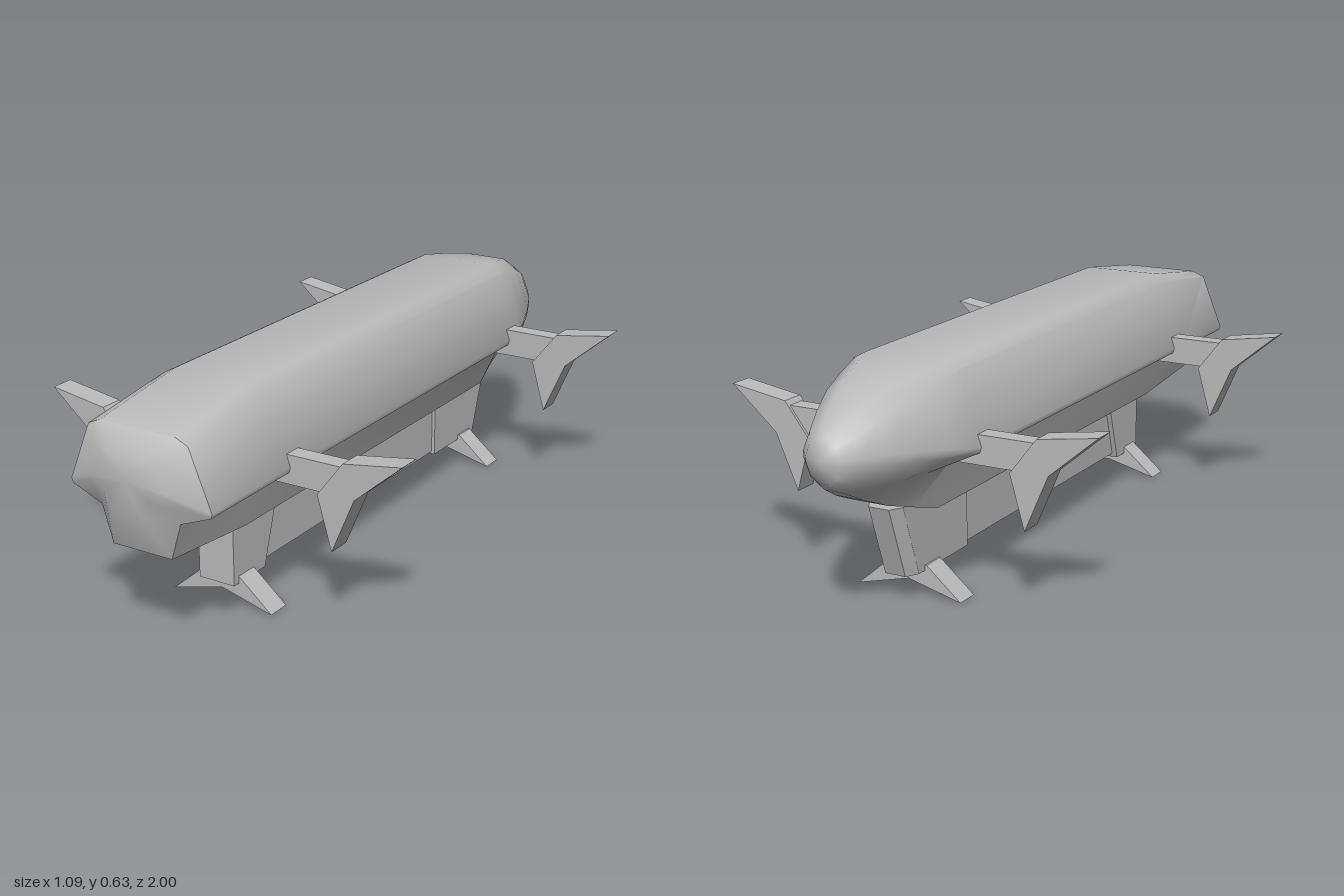
import * as THREE from 'three';
import { toCreasedNormals } from 'three/addons/utils/BufferGeometryUtils.js';

const hullGrey = new THREE.MeshStandardMaterial({ color: 0xbbbbbb });
hullGrey.name = 'hull grey';

function addMesh(parent, geometry, name) {
  const mesh = new THREE.Mesh(geometry, hullGrey);
  mesh.name = name;
  parent.add(mesh);
  return mesh;
}

// Flat outline in x-y, extruded symmetrically along z
function plate(points, depth) {
  const shape = new THREE.Shape(points.map(([x, y]) => new THREE.Vector2(x, y)));
  return new THREE.ExtrudeGeometry(shape, { depth, bevelEnabled: false }).translate(0, 0, -depth / 2);
}

// Outline given as (z, y), extruded symmetrically along x
const sidePlate = (points, width) => plate(points, width).rotateY(-Math.PI / 2);

// Half section from top to bottom: x as part of half width, y from 0 to 1
const SECTION = [[0.53, 1], [0.7, 0.95], [1, 0.46], [0.98, 0.42], [0.56, 0.31], [0.42, 0]];
const ROUND_ANGLES = [18, 48, 84, 97, 130, 162];

// Stations: z, top y, bottom y, half width, roundness
const STATIONS = [
  [1, 0.467, 0.467, 0, 0],
  [1, 0.535, 0.39, 0.11, 0.3],
  [0.95, 0.587, 0.268, 0.213, 0],
  [0.65, 0.63, 0.243, 0.215, 0],
  [-0.62, 0.63, 0.246, 0.215, 0],
  [-0.71, 0.617, 0.272, 0.188, 0.25],
  [-0.8, 0.6, 0.3, 0.157, 0.5],
  [-0.88, 0.568, 0.335, 0.122, 0.8],
  [-0.945, 0.537, 0.37, 0.085, 1],
  [-0.985, 0.51, 0.4, 0.05, 1],
  [-1, 0.455, 0.455, 0, 1],
];

function hullGeometry() {
  const rings = STATIONS.map(([z, top, bottom, width, round]) => {
    const half = SECTION.map(([sx, sy], i) => {
      const a = THREE.MathUtils.degToRad(ROUND_ANGLES[i]);
      const x = THREE.MathUtils.lerp(sx, Math.sin(a), round) * width;
      const t = THREE.MathUtils.lerp(sy, 0.5 + 0.5 * Math.cos(a) / Math.cos(0.314), round);
      return [x, bottom + t * (top - bottom), z];
    });
    const mirrored = half.map(([x, y, zz]) => [-x, y, zz]).reverse();
    return [...half, ...mirrored];
  });
  const positions = [];
  for (let i = 0; i < rings.length - 1; i++) {
    const n = rings[i].length;
    for (let j = 0; j < n; j++) {
      const k = (j + 1) % n;
      const a = rings[i][j], b = rings[i][k], c = rings[i + 1][j], d = rings[i + 1][k];
      // Skip the collapsed triangles at both tips
      if (i > 0) positions.push(...a, ...b, ...c);
      if (i < rings.length - 2) positions.push(...b, ...d, ...c);
    }
  }
  const geometry = new THREE.BufferGeometry();
  geometry.setAttribute('position', new THREE.Float32BufferAttribute(positions, 3));
  geometry.computeVertexNormals();
  return toCreasedNormals(geometry, 0.78);
}

// Slanted trailing plate with chamfered sides
function trailingPlateGeometry() {
  const geometry = new THREE.BoxGeometry(0.1, 0.2, 0.035).toNonIndexed();
  const p = geometry.attributes.position;
  for (let i = 0; i < p.count; i++) {
    const y = p.getY(i), z = p.getZ(i);
    p.setXYZ(i, p.getX(i) * (z < 0 ? 0.6 : 1), y + 0.17, z - 0.702 - y * 0.35);
  }
  geometry.computeVertexNormals();
  return geometry;
}

export function createModel() {
  const model = new THREE.Group();
  model.name = 'pod';
  const body = new THREE.Group();
  body.name = 'body';
  body.rotation.y = -0.008;
  model.add(body);

  addMesh(body, hullGeometry(), 'hull');

  // Keel under the hull
  addMesh(body, sidePlate([[0.655, 0.27], [0.655, 0.065], [0.515, 0.065], [0.45, 0.27]], 0.11), 'frontKeel');
  addMesh(body, sidePlate([[0.52, 0.27], [0.52, 0.077], [-0.42, 0.077], [-0.42, 0.27]], 0.08), 'middleKeel');
  addMesh(body, sidePlate([[-0.405, 0.27], [-0.405, 0.07], [-0.65, 0.07], [-0.72, 0.27]], 0.1), 'rearKeel');
  addMesh(body, trailingPlateGeometry(), 'trailingPlate');

  // Two sets of arms, side fins and forked feet
  const foot = [[-0.155, 0], [-0.055, 0.085], [0.055, 0.085], [0.155, 0], [0, 0.04]];
  const fin = [[0.54, 0.493], [0.372, 0.467], [0.298, 0.37], [0.34, 0.224], [0.405, 0.377]];
  const arm = [[0.1, 0.375], [0.4, 0.375], [0.365, 0.454], [0.1, 0.454]];
  for (const [end, z] of [['front', 0.6], ['rear', -0.588]]) {
    addMesh(body, plate(foot, 0.068), `${end}Foot`).position.z = z;
    for (const [side, s] of [['Left', 1], ['Right', -1]]) {
      const flip = (points) => points.map(([x, y]) => [x * s, y]);
      addMesh(body, plate(flip(arm), 0.052), `${end}${side}Arm`).position.z = z;
      addMesh(body, plate(flip(fin), 0.068), `${end}${side}Fin`).position.z = z;
    }
  }
  return model;
}
